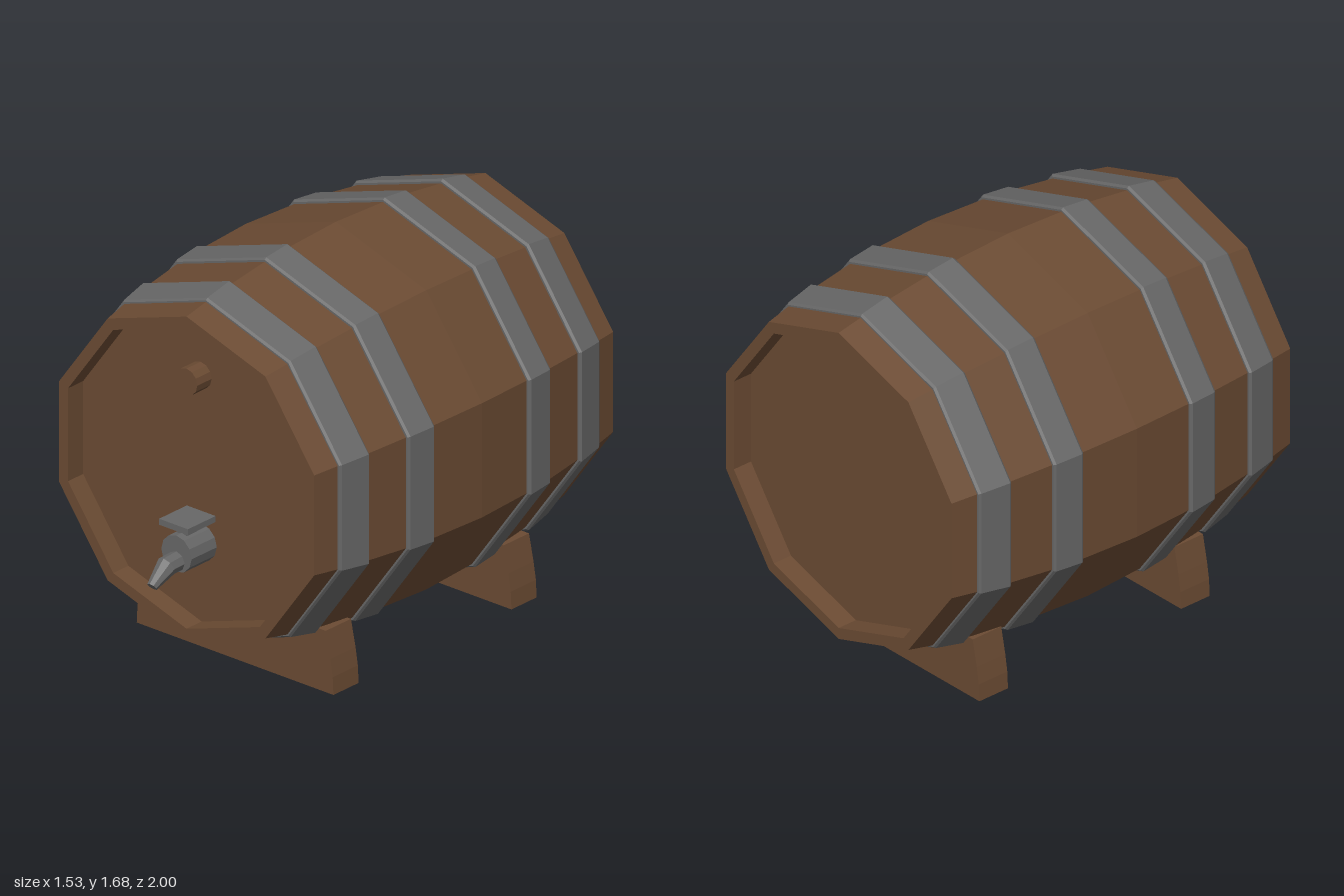
import * as THREE from 'three';

const CY = 0.875;   // height of the barrel axis
const CZ = -0.11;   // middle of the barrel along z
const HALF = 0.89;  // half length
const SIDES = 10;

const material = (name, color) => {
  const m = new THREE.MeshStandardMaterial({ color, flatShading: true });
  m.name = name;
  return m;
};

// Bulge of the staves as a function of distance from the middle
const STEPS = [0, 0.35, 0.7, HALF];
const radiusAt = (d) => 0.8 - 0.1 * (d / HALF) ** 2;

export function createModel() {
  const wood = material('wood brown', 0x6b4b33);
  const metal = material('iron grey', 0x676767);
  const model = new THREE.Group();
  model.name = 'barrel';

  const add = (name, geometry, mat, x = 0, y = 0, z = 0, parent = model) => {
    const mesh = new THREE.Mesh(geometry, mat);
    mesh.name = name;
    mesh.position.set(x, y, z);
    parent.add(mesh);
    return mesh;
  };

  // Ring around the z axis from [radius, z] points, corner at top and bottom
  const turned = (points, sides = SIDES) =>
    new THREE.LatheGeometry(points.map(([r, z]) => new THREE.Vector2(r, z)), sides).rotateX(Math.PI / 2);
  const disc = (r, length, sides) =>
    new THREE.CylinderGeometry(r, r, length, sides).rotateX(Math.PI / 2);

  // Staves with a raised rim at both ends
  const front = STEPS.map((d) => [radiusAt(d), d]);
  const back = STEPS.slice(1).reverse().map((d) => [radiusAt(d), -d]);
  const lip = HALF - 0.09;
  add('staves', turned([[0.65, -lip], ...back, ...front, [0.65, HALF], [0.65, lip]]
    .flatMap((p, i) => (i === 0 ? [p, [0.65, -HALF]] : [p]))), wood, 0, CY, CZ);

  // Recessed heads
  add('frontHead', turned([[0.65, lip], [0, lip]]), wood, 0, CY, CZ);
  add('backHead', turned([[0, -lip], [0.65, -lip]]), wood, 0, CY, CZ);

  // Four bevelled hoops
  for (const side of [1, -1]) {
    for (const [name, a, b] of [['innerHoop', 0.28, 0.425], ['outerHoop', 0.625, 0.775]]) {
      const ra = radiusAt(a), rb = radiusAt(b);
      const profile = [[ra - 0.02, a], [ra + 0.006, a], [ra + 0.014, a + 0.01],
        [rb + 0.014, b - 0.01], [rb + 0.006, b], [rb - 0.02, b]];
      const points = side > 0 ? profile : profile.map(([r, z]) => [r, -z]).reverse();
      add(name + (side > 0 ? 'Front' : 'Back'), turned(points), metal, 0, CY, CZ);
    }
  }

  // Bung in the front head
  add('bung', disc(0.057, 0.1, 12), wood, -0.005, 1.29, 0.725);

  // Tap: flange, stem, handle and bent spout
  const tap = new THREE.Group();
  tap.name = 'tap';
  model.add(tap);
  add('tapFlange', disc(0.079, 0.16, 12), metal, 0, 0.57, 0.76, tap);
  add('tapStem', new THREE.BoxGeometry(0.05, 0.08, 0.065), metal, 0, 0.655, 0.775, tap);
  add('tapHandle', new THREE.BoxGeometry(0.15, 0.026, 0.165), metal, 0, 0.692, 0.775, tap);

  // Spout rings: [y, z, radius, downward tilt]
  const rings = [[0.54, 0.8, 0.043, 0], [0.537, 0.9, 0.043, 0.4], [0.478, 0.985, 0.022, 0.7]];
  const n = 8, pos = [], index = [];
  for (const [y, z, r, tilt] of rings) {
    for (let i = 0; i < n; i++) {
      const a = (i / n) * Math.PI * 2, v = Math.sin(a) * r;
      pos.push(Math.cos(a) * r, y + v * Math.cos(tilt), z + v * Math.sin(tilt));
    }
  }
  for (let k = 0; k < rings.length - 1; k++) {
    for (let i = 0; i < n; i++) {
      const a = k * n + i, b = k * n + (i + 1) % n;
      index.push(a, b, b + n, a, b + n, a + n);
    }
  }
  const tip = (rings.length - 1) * n;
  for (let i = 1; i < n - 1; i++) index.push(tip, tip + i, tip + i + 1);
  const spout = new THREE.BufferGeometry();
  spout.setAttribute('position', new THREE.Float32BufferAttribute(pos, 3));
  spout.setIndex(index);
  spout.computeVertexNormals();
  add('tapSpout', spout, metal, 0, 0, 0, tap);

  // Cradle blocks, hollowed to follow the barrel
  const outline = [[-0.513, 0], [0.513, 0], [0.509, 0.075], [0.497, 0.15], [0.473, 0.265],
    [0.42, 0.265], [0, 0.135], [-0.42, 0.265], [-0.473, 0.265], [-0.497, 0.15], [-0.509, 0.075]];
  const shape = new THREE.Shape(outline.map(([x, y]) => new THREE.Vector2(x, y)));
  for (const [name, z] of [['frontCradle', 0.35], ['backCradle', -0.71]]) {
    add(name, new THREE.ExtrudeGeometry(shape, { depth: 0.15, bevelEnabled: false }), wood, 0.008, 0, z);
  }

  return model;
}
